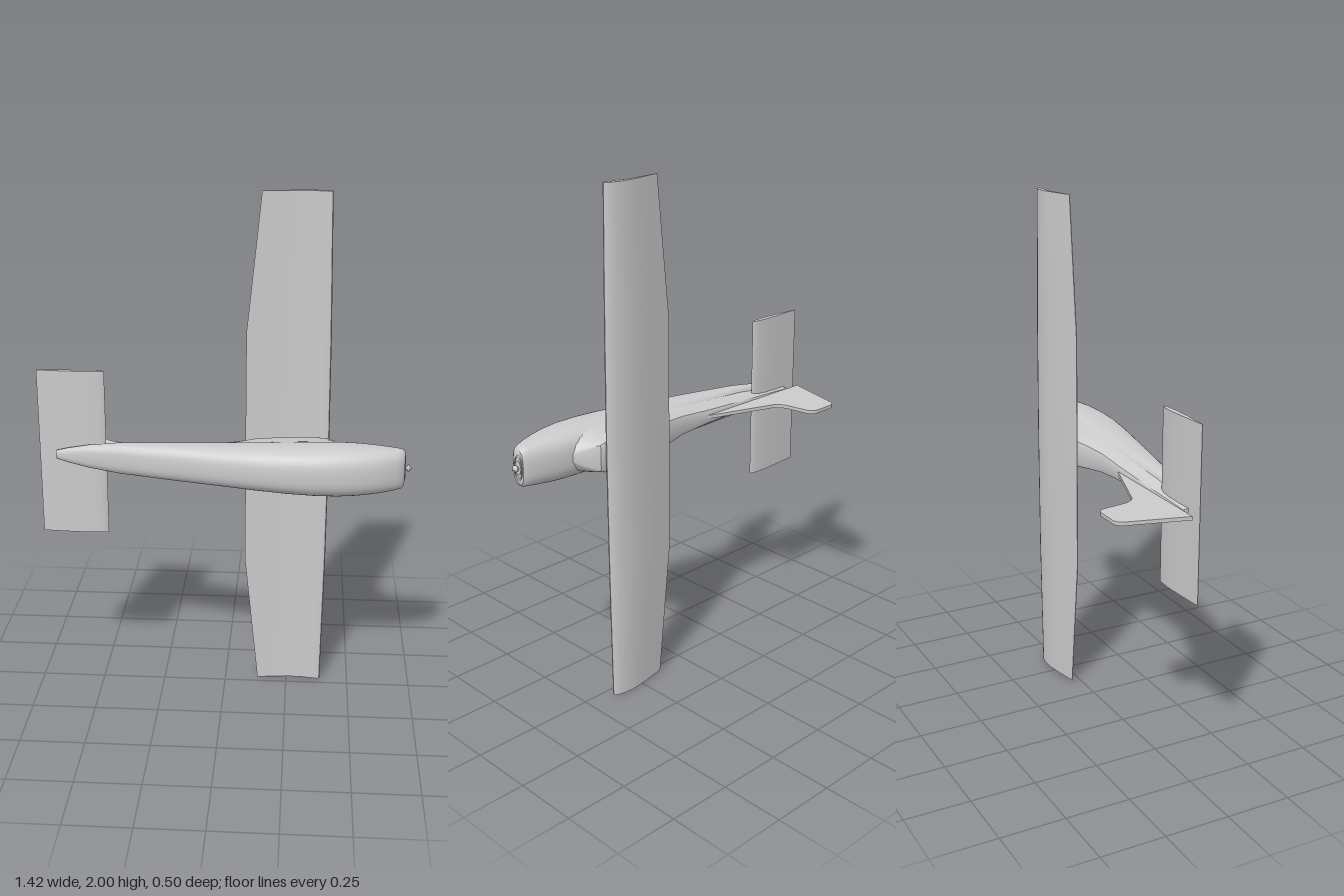
import * as THREE from 'three';
import { toCreasedNormals } from 'three/addons/utils/BufferGeometryUtils.js';

const material = new THREE.MeshStandardMaterial({ color: 0xcccccc, side: THREE.DoubleSide });

function add(group, name, geometry) {
  const mesh = new THREE.Mesh(geometry, material);
  mesh.name = name;
  group.add(mesh);
  return mesh;
}

// Closed skin through equal-length rings of [x, y, z], capped at both ends
function loft(rings, crease = 0.6) {
  const n = rings[0].length, pos = rings.flat(2), index = [];
  const quad = (a, b, c, d) => index.push(a, b, c, a, c, d);
  for (let r = 0; r < rings.length - 1; r++)
    for (let i = 0; i < n; i++) {
      const j = (i + 1) % n;
      quad(r * n + i, r * n + j, (r + 1) * n + j, (r + 1) * n + i);
    }
  [0, rings.length - 1].forEach((r, end) => {
    const c = pos.length / 3;
    for (let k = 0; k < 3; k++) pos.push(rings[r].reduce((s, p) => s + p[k], 0) / n);
    for (let i = 0; i < n; i++) {
      const a = r * n + i, b = r * n + (i + 1) % n;
      if (end) index.push(c, a, b); else index.push(c, b, a);
    }
  });
  // Turn the faces outward if the enclosed volume is negative
  const v = i => new THREE.Vector3().fromArray(pos, i * 3);
  let volume = 0;
  for (let i = 0; i < index.length; i += 3)
    volume += v(index[i]).dot(v(index[i + 1]).cross(v(index[i + 2])));
  if (volume < 0) index.reverse();
  const g = new THREE.BufferGeometry();
  g.setAttribute('position', new THREE.Float32BufferAttribute(pos, 3));
  g.setIndex(index);
  return toCreasedNormals(g, crease);
}

// Rounded-box ring across the fuselage
function bodyRing([x, top, bottom, half], n = 40, power = 2.8) {
  const round = c => Math.sign(c) * Math.abs(c) ** (2 / power);
  return Array.from({ length: n }, (_, i) => {
    const a = (i / n) * Math.PI * 2;
    return [x, 1 + half * round(Math.cos(a)), (top + bottom) / 2 + (bottom - top) / 2 * round(Math.sin(a))];
  });
}

// Tapered deck ring with rounded upper corners
function deckRing([x, top, bottom, low, high]) {
  const r = Math.min(0.014, high * 0.5), h = bottom - top;
  const side = [[low, bottom], [(low + high) / 2, top + h / 2], [high, top + Math.min(r, h * 0.3)],
    [high - r * 0.3, top + Math.min(r, h * 0.3) * 0.3], [high - r, top]];
  return [...side.map(([w, z]) => [x, 1 + w, z]), ...side.reverse().map(([w, z]) => [x, 1 - w, z])];
}

// Cambered section: fraction of chord from the leading edge, height over the chord line
const wingSection = [[0, 0.012], [0.03, 0.021], [0.1, 0.03], [0.2, 0.036], [0.32, 0.038], [0.45, 0.035],
  [0.65, 0.025], [0.85, 0.012], [1, 0.003], [1, 0], [0.8, 0.008], [0.55, 0.015], [0.3, 0.014],
  [0.12, 0.006], [0.04, 0.001], [0.01, 0.004]];
const tailSection = [[0, 0], [0.03, 0.005], [0.12, 0.009], [0.3, 0.011], [0.6, 0.008], [1, 0.001],
  [1, -0.001], [0.6, -0.008], [0.3, -0.011], [0.12, -0.009], [0.03, -0.005]];
const foilRing = (section, y, lead, trail, z, scale = 1) =>
  section.map(([t, h]) => [lead + (trail - lead) * t, y, z - h * scale]);

export function createModel() {
  const model = new THREE.Group();
  model.name = 'aeroplane';

  // Fuselage: x, top z, bottom z, half width
  add(model, 'fuselage', loft([
    [-0.645, 0.045, 0.07, 0.016], [-0.6, 0.046, 0.08, 0.028], [-0.52, 0.047, 0.096, 0.044],
    [-0.4, 0.047, 0.12, 0.059], [-0.2, 0.047, 0.162, 0.069], [0, 0.047, 0.203, 0.077],
    [0.12, 0.047, 0.226, 0.083], [0.24, 0.046, 0.243, 0.089], [0.34, 0.045, 0.248, 0.093],
    [0.43, 0.045, 0.243, 0.095], [0.5, 0.049, 0.232, 0.093], [0.56, 0.057, 0.216, 0.089],
    [0.61, 0.067, 0.197, 0.084], [0.65, 0.077, 0.176, 0.079], [0.67, 0.084, 0.161, 0.075],
    [0.679, 0.09, 0.148, 0.066]].map(r => bodyRing(r)), 0.8));

  // Spine, cabin and windscreen: x, top z, bottom z, lower and upper half width
  add(model, 'cabin', loft([
    [-0.645, 0.01, 0.056, 0.014, 0.009], [-0.4, 0.01, 0.065, 0.045, 0.02], [-0.17, 0.01, 0.07, 0.055, 0.032],
    [-0.04, 0.01, 0.075, 0.062, 0.042], [0.05, -0.008, 0.08, 0.068, 0.05], [0.13, -0.028, 0.08, 0.074, 0.058],
    [0.3, -0.029, 0.08, 0.082, 0.066], [0.385, -0.029, 0.08, 0.082, 0.064], [0.415, -0.027, 0.08, 0.078, 0.055],
    [0.44, 0.002, 0.075, 0.07, 0.048], [0.465, 0.028, 0.07, 0.056, 0.036],
    [0.487, 0.05, 0.065, 0.03, 0.018]].map(deckRing)));

  // Wing with straight centre and tapered outer panels
  add(model, 'wing', loft([
    [0, 0.388, 0.132, 0.8], [0.53, 0.397, 0.078, 1], [1, 0.4, 0.077, 1.02],
    [1.47, 0.397, 0.078, 1], [2, 0.388, 0.132, 0.8]]
    .map(([y, lead, trail, s]) => foilRing(wingSection, y, lead, trail, -0.03, s))));

  // Pegs that hold the wing on the cabin
  for (const x of [0.19, 0.315])
    for (const side of [-1, 1]) {
      const peg = add(model, 'wingPeg', new THREE.CylinderGeometry(0.004, 0.004, 0.026, 12));
      peg.rotation.x = Math.PI / 2;
      peg.position.set(x, 1 + side * 0.03, -0.037);
    }

  // Tailplane
  add(model, 'tailplane', loft([0.67, 1.33].map(y => foilRing(tailSection, y, -0.455, -0.713, 0.036))));

  // Tail fin with rudder and long front fillet
  const outline = new THREE.Shape();
  outline.moveTo(-0.71, 0.008);
  outline.lineTo(-0.651, -0.215);
  outline.quadraticCurveTo(-0.642, -0.25, -0.612, -0.25);
  outline.lineTo(-0.54, -0.25);
  outline.quadraticCurveTo(-0.506, -0.25, -0.501, -0.215);
  outline.lineTo(-0.491, -0.145);
  outline.quadraticCurveTo(-0.482, -0.09, -0.44, -0.08);
  outline.lineTo(-0.175, 0.01);
  const fin = add(model, 'tailFin', new THREE.ExtrudeGeometry(outline, { depth: 0.014, bevelEnabled: false }));
  fin.rotation.x = Math.PI / 2;
  fin.scale.y = -1;
  // Mirror the outline in place, keeping the faces outward
  fin.scale.y = 1;
  fin.position.y = 1.007;

  // Nose rings, hub and spinner along the propeller axis
  const axis = new THREE.Group();
  axis.name = 'nose';
  axis.position.set(0.679, 1, 0.117);
  axis.rotation.z = -Math.PI / 2;
  model.add(axis);
  const ring = add(axis, 'noseRing', new THREE.TorusGeometry(0.045, 0.004, 8, 40));
  ring.rotation.x = Math.PI / 2;
  ring.scale.y = 0.48;
  const plate = add(axis, 'nosePlate', new THREE.CylinderGeometry(0.026, 0.026, 0.008, 32));
  plate.scale.z = 0.65;
  add(axis, 'spinner', new THREE.LatheGeometry([[0, 0.029], [0.004, 0.027], [0.005, 0.021], [0.013, 0.018],
    [0.013, 0.012], [0.006, 0.01], [0.006, 0]].reverse().map(p => new THREE.Vector2(...p)), 20));

  return model;
}
